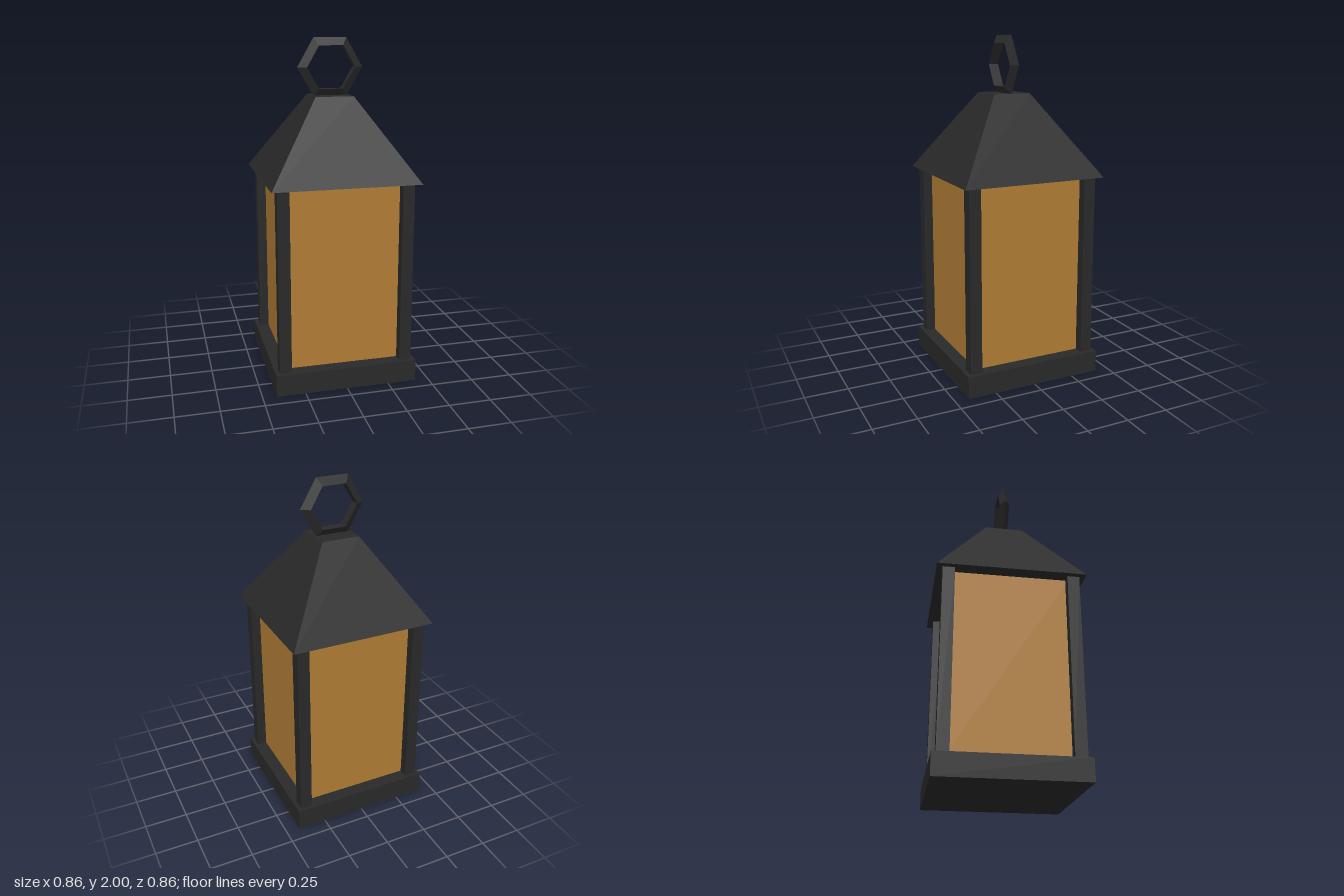
import * as THREE from 'three';

// Give every face its own normal for a low-poly look
function faceted(geometry) {
  const g = geometry.toNonIndexed();
  g.computeVertexNormals();
  return g;
}

export function createModel() {
  const iron = new THREE.MeshStandardMaterial({ color: 0x292929 });
  iron.name = 'dark iron';
  const amber = new THREE.MeshStandardMaterial({ color: 0xb07c35 });
  amber.name = 'amber glass';

  const lantern = new THREE.Group();
  lantern.name = 'lantern';
  const add = (name, geometry, material, x, y, z) => {
    const mesh = new THREE.Mesh(geometry, material);
    mesh.name = name;
    mesh.position.set(x, y, z);
    lantern.add(mesh);
    return mesh;
  };

  const baseTop = 0.13, eaves = 1.2, roofTop = 1.67;
  const bodyHeight = eaves - baseTop, bodyMid = (eaves + baseTop) / 2;

  // Square base slab
  add('base', new THREE.BoxGeometry(0.84, baseTop, 0.84), iron, 0, baseTop / 2, 0);

  // Glass body, set back behind the posts
  add('glass', new THREE.BoxGeometry(0.68, bodyHeight, 0.68), amber, 0, bodyMid, 0);

  // Four corner posts
  const postGeometry = new THREE.BoxGeometry(0.07, bodyHeight, 0.07);
  for (const [sideX, nameX] of [[1, 'Left'], [-1, 'Right']]) {
    for (const [sideZ, nameZ] of [[1, 'front'], [-1, 'back']]) {
      add(nameZ + nameX + 'Post', postGeometry, iron, sideX * 0.36, bodyMid, sideZ * 0.36);
    }
  }

  // Truncated pyramid roof
  const roof = new THREE.CylinderGeometry(0.113 * Math.SQRT2, 0.43 * Math.SQRT2, roofTop - eaves, 4);
  roof.rotateY(Math.PI / 4);
  add('roof', faceted(roof), iron, 0, (roofTop + eaves) / 2, 0);

  // Hexagonal carrying ring with a triangular section
  const ring = new THREE.TorusGeometry(0.16, 0.035, 3, 6);
  add('carryingRing', faceted(ring), iron, 0, 2 - 0.195 * Math.cos(Math.PI / 6), 0);

  return lantern;
}
